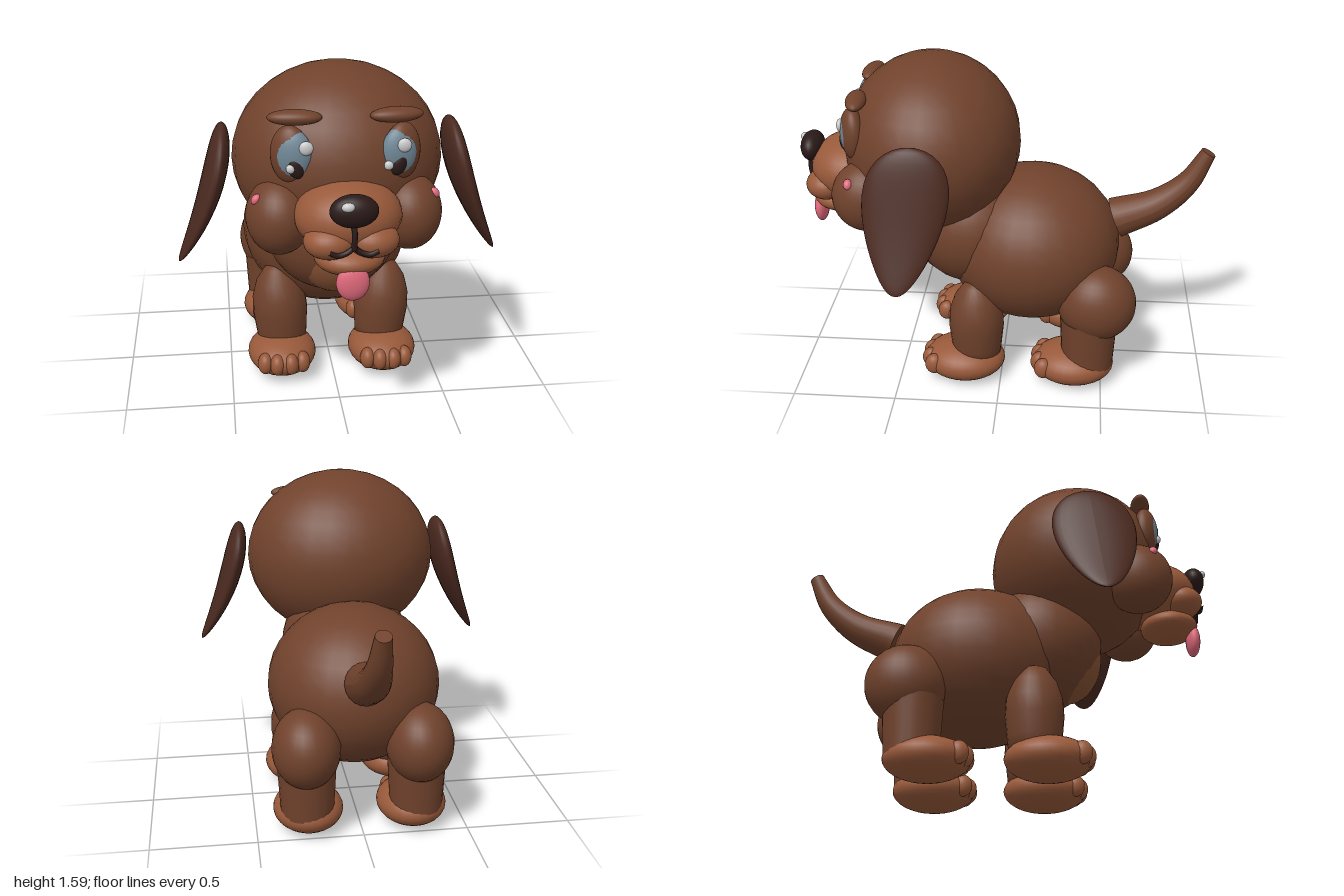
import * as THREE from 'three';

const mat = (color) => new THREE.MeshStandardMaterial({ color });

export function createModel() {
  const dog = new THREE.Group();
  dog.name = 'puppy';
  const coat = mat(0x70422c), tan = mat(0x98593a), earCoat = mat(0x4b2a20), chestTan = mat(0x885234);
  const black = mat(0x2a1a18), iris = mat(0x6f8796), white = mat(0xf2f2f2), pink = mat(0xe0697c);

  const add = (name, geometry, material, parent = dog) => {
    const mesh = new THREE.Mesh(geometry, material);
    mesh.name = name;
    parent.add(mesh);
    return mesh;
  };
  // Ellipsoid given by centre, radii and rotation
  const blob = (name, material, pos, radii, rot = [0, 0, 0], parent = dog) => {
    const mesh = add(name, new THREE.SphereGeometry(1, 28, 18), material, parent);
    mesh.position.set(...pos);
    mesh.scale.set(...radii);
    mesh.rotation.set(...rot);
    return mesh;
  };
  const tube = (name, points, radius, material) => {
    const curve = new THREE.CatmullRomCurve3(points.map((p) => new THREE.Vector3(...p)));
    return add(name, new THREE.TubeGeometry(curve, 20, radius, 8), material);
  };
  const sideName = (s) => (s > 0 ? 'left' : 'right');

  // Torso and head masses
  blob('body', coat, [0, 0.645, -0.14], [0.415, 0.385, 0.43]);
  blob('chest', coat, [0, 0.75, 0.16], [0.32, 0.31, 0.3]);
  blob('chestPatch', chestTan, [0, 0.67, 0.31], [0.18, 0.2, 0.145], [0.2, 0, 0]);
  blob('head', coat, [0, 1.17, 0.345], [0.47, 0.422, 0.422]);

  // Muzzle, nose, mouth and tongue
  blob('muzzle', tan, [0, 1.03, 0.74], [0.23, 0.155, 0.2]);
  blob('lowerJaw', tan, [0, 0.865, 0.8], [0.15, 0.068, 0.14]);
  blob('tongue', pink, [0, 0.795, 0.915], [0.07, 0.08, 0.034]);
  blob('nose', black, [0, 1.117, 0.935], [0.1, 0.07, 0.056]);
  blob('noseHighlight', white, [-0.03, 1.15, 0.98], [0.027, 0.019, 0.018]);
  tube('noseLine', [[0, 1.07, 0.945], [0, 1.01, 0.955], [0, 0.955, 0.95]], 0.012, black);

  for (const s of [1, -1]) {
    const side = sideName(s);
    blob(side + 'Jowl', tan, [s * 0.09, 0.96, 0.855], [0.11, 0.075, 0.1]);
    tube(side + 'Mouth', [[0, 0.962, 0.943], [s * 0.03, 0.94, 0.945], [s * 0.065, 0.932, 0.95],
      [s * 0.1, 0.947, 0.95]], 0.012, black);
    blob(side + 'Cheek', coat, [s * 0.28, 0.99, 0.62], [0.145, 0.17, 0.165]);
    blob(side + 'Blush', pink, [s * 0.38, 1.09, 0.685], [0.025, 0.018, 0.02], [0, 0, s * -0.9]);

    // Eye: socket, iris and pupil, with lights on the same side of both eyes
    blob(side + 'EyeSocket', coat, [s * 0.235, 1.28, 0.68], [0.085, 0.125, 0.055], [0, s * 0.4, 0]);
    blob(side + 'Iris', iris, [s * 0.222, 1.28, 0.695], [0.08, 0.11, 0.046], [0, s * 0.2, 0]);
    blob(side + 'Pupil', black, [s * 0.218, 1.24, 0.72], [0.035, 0.055, 0.026], [0, s * 0.2, s * -0.35]);
    const shift = s > 0 ? 0.235 : -0.172;
    blob(side + 'EyeLight', white, [shift, 1.32, 0.735], [0.03, 0.03, 0.016]);
    blob(side + 'EyeSpark', white, [shift - 0.064, 1.235, 0.735], [0.02, 0.02, 0.015]);
    blob(side + 'Eyebrow', coat, [s * 0.213, 1.432, 0.66], [0.115, 0.033, 0.047], [0, s * 0.1, 0]);

    // Hanging ear: flattened sphere that narrows and swings outward toward its tip
    const ear = new THREE.SphereGeometry(1, 28, 20);
    const p = ear.attributes.position;
    for (let i = 0; i < p.count; i++) {
      const t = p.getY(i), width = 0.93 + 0.3 * t;
      p.setXYZ(i,
        s * 0.575 + p.getX(i) * 0.055 * width + s * (-0.105 * t + 0.04 * t * t),
        1.025 + 0.31 * t,
        0.4 - 0.025 * t + p.getZ(i) * 0.197 * width);
    }
    ear.computeVertexNormals();
    add(side + 'Ear', ear, earCoat);

    // Legs: front ones taper into the shoulder, hind ones carry a round thigh
    const front = [[0, 0], [0.115, 0], [0.125, 0.1], [0.135, 0.2], [0.13, 0.28], [0.105, 0.36], [0.06, 0.425], [0, 0.45]];
    const frontLeg = add(side + 'FrontLeg',
      new THREE.LatheGeometry(front.map((q) => new THREE.Vector2(...q)), 24), coat);
    frontLeg.position.set(s * 0.24, 0.1, 0.12);
    frontLeg.rotation.z = s * -0.06;
    blob(side + 'Thigh', coat, [s * 0.265, 0.45, -0.465], [0.16, 0.19, 0.19]);
    const shin = add(side + 'HindShin', new THREE.CylinderGeometry(0.14, 0.125, 0.27, 24), coat);
    shin.position.set(s * 0.26, 0.235, -0.43);

    // Paws with four toes each
    for (const [name, z] of [['Front', 0.18], ['Hind', -0.36]]) {
      const paw = new THREE.Group();
      paw.name = side + name + 'Paw';
      paw.position.set(s * 0.25, 0, z);
      dog.add(paw);
      blob('foot', tan, [0, 0.1, 0], [0.167, 0.1, 0.2], [0, 0, 0], paw);
      for (const x of [-0.09, -0.033, 0.033, 0.09]) {
        const inner = Math.abs(x) < 0.05;
        blob('toe', tan, [x, 0.105, inner ? 0.165 : 0.145], [0.037, 0.053, 0.045], [0, 0, 0], paw);
      }
    }
  }

  // Tail: capped tube whose rings shrink toward the raised tip
  const path = new THREE.CatmullRomCurve3([[0.78, -0.545], [0.86, -0.74], [0.98, -0.88], [1.14, -0.967]]
    .map(([y, z]) => new THREE.Vector3(0, y, z)));
  const rings = 16, sides = 20;
  const tail = new THREE.TubeGeometry(path, rings, 1, sides);
  const tp = tail.attributes.position, v = new THREE.Vector3();
  for (let i = 0; i < tp.count; i++) {
    const u = Math.floor(i / (sides + 1)) / rings;
    const c = path.getPointAt(u);
    v.fromBufferAttribute(tp, i).sub(c).multiplyScalar(0.1 - 0.064 * u).add(c);
    tp.setXYZ(i, v.x, v.y, v.z);
  }
  tail.computeVertexNormals();
  add('tail', tail, coat);
  for (const [u, r, dir] of [[0, 0.1, -1], [1, 0.036, 1]]) {
    const cap = add('tailCap', new THREE.CircleGeometry(r, sides), coat);
    cap.position.copy(path.getPointAt(u));
    cap.lookAt(cap.position.clone().addScaledVector(path.getTangentAt(u), dir));
  }
  return dog;
}
